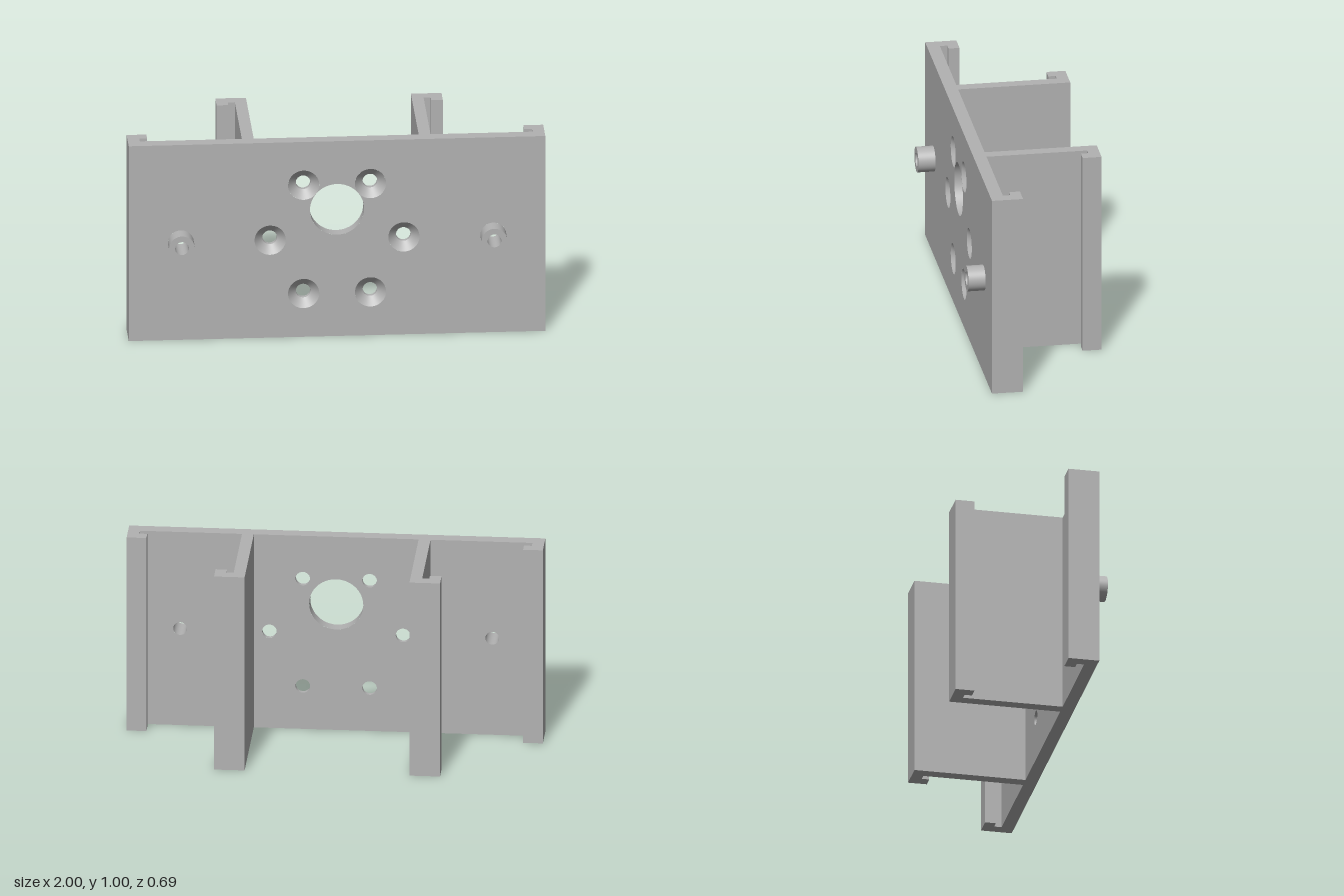
import * as THREE from 'three';

const FRONT = 0.262, BACK = 0.2, SEG = 48;

export function createModel() {
  const model = new THREE.Group();
  model.name = 'mountingBracket';
  const grey = new THREE.MeshStandardMaterial({ color: 0xb2b2b2 });
  grey.name = 'plain grey';

  const add = (name, geometry, parent = model) => {
    const mesh = new THREE.Mesh(geometry, grey);
    mesh.name = name;
    parent.add(mesh);
    return mesh;
  };

  // Holes: each profile runs [radius, z] from the front face to the back face
  const holes = [{ name: 'centreBore', x: 0, y: 0.65, profile: [[0.13, FRONT], [0.13, BACK]] }];
  for (let i = 0; i < 6; i++) {
    const a = (i * Math.PI) / 3;
    holes.push({
      name: 'countersunkHole', x: 0.321 * Math.cos(a), y: 0.5 + 0.321 * Math.sin(a),
      profile: [[0.075, FRONT], [0.035, 0.222], [0.035, BACK]],
    });
  }
  for (const s of [-1, 1]) {
    holes.push({
      name: s > 0 ? 'leftBoss' : 'rightBoss', x: s * 0.75, y: 0.5,
      profile: [[0.062, FRONT], [0.062, 0.345], [0.033, 0.345], [0.033, BACK]],
    });
  }

  // Plate faces, cut with the front or back radius of every hole
  const face = (radiusOf) => {
    const shape = new THREE.Shape([
      new THREE.Vector2(-1, 0), new THREE.Vector2(1, 0),
      new THREE.Vector2(1, 1), new THREE.Vector2(-1, 1),
    ]);
    for (const h of holes) {
      const path = new THREE.Path();
      path.absarc(h.x, h.y, radiusOf(h.profile), 0, Math.PI * 2, true);
      shape.holes.push(path);
    }
    return new THREE.ShapeGeometry(shape, SEG);
  };
  const plate = new THREE.Group();
  plate.name = 'plate';
  model.add(plate);
  add('plateFront', face((p) => p[0][0]).translate(0, 0, FRONT), plate);
  // The hole layout is symmetric in x, so the back face is simply turned round
  add('plateBack', face((p) => p[p.length - 1][0]).rotateY(Math.PI).translate(0, 0, BACK), plate);

  // Plate edges: a box without its front and back faces
  const rim = new THREE.BoxGeometry(2, 1, FRONT - BACK).translate(0, 0.5, (FRONT + BACK) / 2);
  rim.setIndex(Array.from(rim.index.array).slice(0, 24));
  rim.clearGroups();
  add('plateEdges', rim, plate);

  // Hole walls and bosses, one smooth band per profile segment
  for (const h of holes) {
    const group = new THREE.Group();
    group.name = h.name;
    group.position.set(h.x, h.y, 0);
    model.add(group);
    for (let i = 0; i + 1 < h.profile.length; i++) {
      const points = [h.profile[i], h.profile[i + 1]].map(([r, z]) => new THREE.Vector2(r, z));
      add(h.name + 'Wall', new THREE.LatheGeometry(points, SEG).rotateX(Math.PI / 2), group);
    }
  }

  // Hooked rails behind the plate: [x, z] sections extruded upwards
  const sections = {
    EdgeLip: [[1, BACK], [1, 0.111], [0.905, 0.111], [0.905, 0.164], [0.943, 0.164], [0.943, BACK]],
    HookRail: [[0.396, BACK], [0.396, -0.344], [0.543, -0.344], [0.543, -0.252],
      [0.487, -0.252], [0.487, -0.288], [0.453, -0.288], [0.453, BACK]],
  };
  for (const [name, points] of Object.entries(sections)) {
    for (const s of [-1, 1]) {
      const shape = new THREE.Shape(points.map(([x, z]) => new THREE.Vector2(s * x, -z)));
      const rail = new THREE.ExtrudeGeometry(shape, { depth: 1, bevelEnabled: false });
      add((s > 0 ? 'left' : 'right') + name, rail.rotateX(-Math.PI / 2));
    }
  }
  return model;
}
